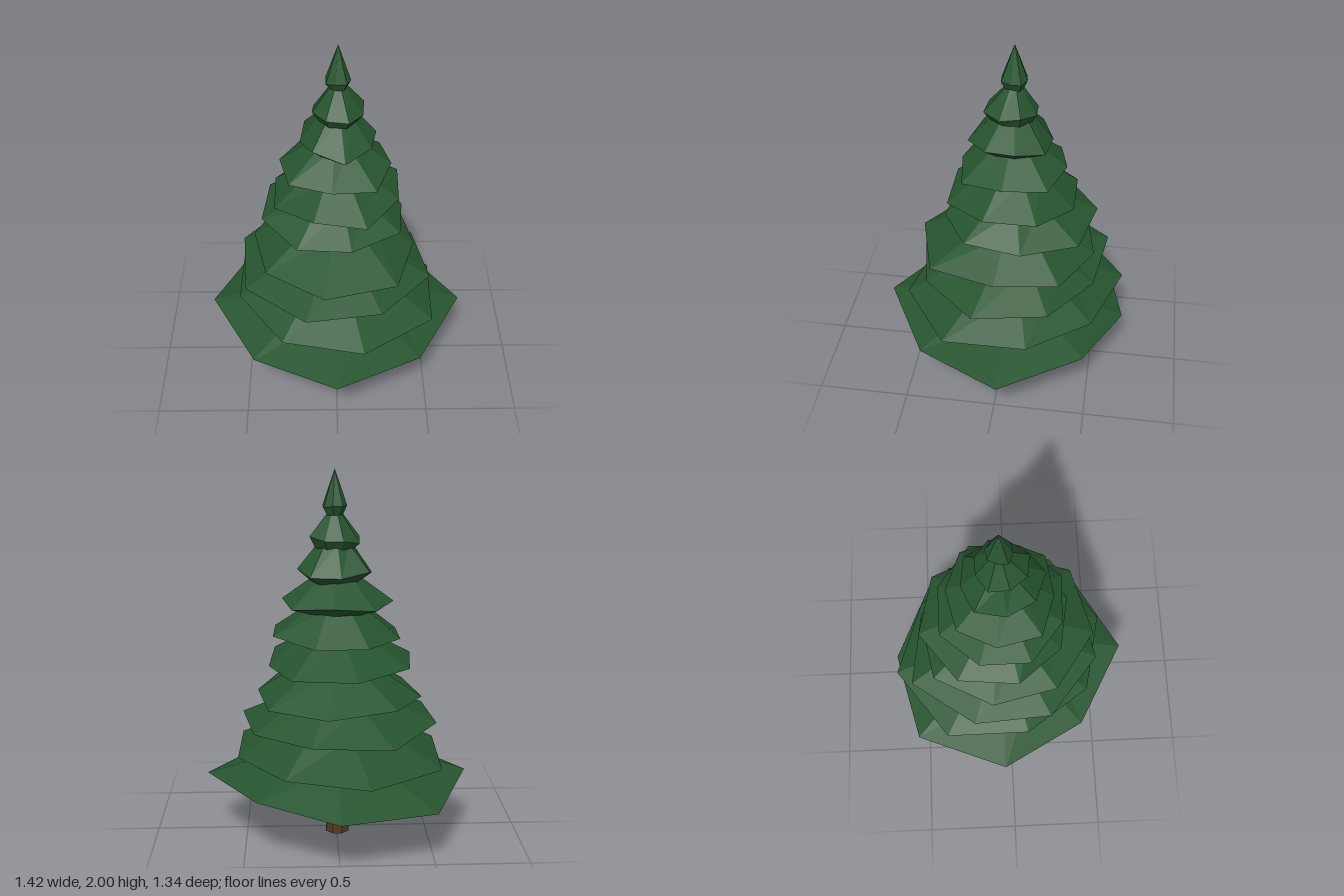
import * as THREE from 'three';

const AXIS_Z = -0.042;

// Small repeatable noise in -1..1 for uneven branch tips
const noise = (n) => {
  const s = Math.sin(n * 12.9898 + 4.1) * 43758.5453;
  return (s - Math.floor(s)) * 2 - 1;
};

// Faceted solid skinned over rings of points, ordered bottom to top
function skin(rings) {
  const pos = [];
  const tri = (...pts) => pts.forEach((p) => pos.push(p.x, p.y, p.z));
  const n = rings[0].length;
  const centre = (ring) => ring.reduce((c, p) => c.addScaledVector(p, 1 / n), new THREE.Vector3());
  const bottom = centre(rings[0]);
  const top = centre(rings[rings.length - 1]);
  for (let i = 0; i < n; i++) {
    const j = (i + 1) % n;
    tri(bottom, rings[0][j], rings[0][i]);
    for (let k = 0; k + 1 < rings.length; k++) {
      const [a, b] = [rings[k], rings[k + 1]];
      tri(a[i], a[j], b[j]);
      tri(a[i], b[j], b[i]);
    }
    const last = rings[rings.length - 1];
    tri(last[i], last[j], top);
  }
  const geo = new THREE.BufferGeometry();
  geo.setAttribute('position', new THREE.Float32BufferAttribute(pos, 3));
  geo.computeVertexNormals();
  return geo;
}

// Ring around the trunk axis; angle 0 faces the front
function ring(n, rot, radius, height, cx = 0) {
  return Array.from({ length: n }, (_, i) => {
    const a = THREE.MathUtils.degToRad(rot) + (i / n) * Math.PI * 2;
    const r = radius(i);
    return new THREE.Vector3(cx + r * Math.sin(a), height(i), AXIS_Z + r * Math.cos(a));
  });
}

// Tiers from the ground up: rim height, underside height, top height and radius,
// rotation in degrees, rim radii, underside ring ratio
const TIERS = [
  { rim: 0.33, low: 0.277, top: 0.47, topR: 0.27, rot: 0, radii: [0.712, 0.647, 0.71, 0.605, 0.628, 0.71, 0.71, 0.647], under: 0.55 },
  { rim: 0.485, low: 0.45, top: 0.64, topR: 0.28, rot: 14, radii: [0.6, 0.615, 0.55, 0.54, 0.63, 0.63, 0.56, 0.57], under: 0.6 },
  { rim: 0.66, low: 0.61, top: 0.79, topR: 0.25, rot: 28, radii: [0.51, 0.54, 0.5, 0.476, 0.58, 0.55, 0.56, 0.56], under: 0.6 },
  { rim: 0.805, low: 0.77, top: 0.96, topR: 0.2, rot: 38, radii: [0.52, 0.43, 0.46, 0.45, 0.48, 0.46, 0.48, 0.52], under: 0.6 },
  { rim: 0.99, low: 0.94, top: 1.13, topR: 0.18, rot: 12, radii: [0.375, 0.4, 0.37, 0.44, 0.455, 0.44, 0.41, 0.38], under: 0.62 },
  { rim: 1.14, low: 1.105, top: 1.29, topR: 0.15, rot: 25, radii: [0.37, 0.35, 0.37, 0.35, 0.36, 0.35, 0.36, 0.345], under: 0.62 },
  { rim: 1.305, low: 1.265, top: 1.46, topR: 0.1, rot: 40, radii: [0.32, 0.29, 0.31, 0.28, 0.3, 0.3, 0.32, 0.28], under: 0.62 },
  { rim: 1.475, low: 1.425, top: 1.62, topR: 0.09, rot: 8, radii: [0.24, 0.21, 0.2, 0.22, 0.2, 0.22, 0.2, 0.22], under: 0.65 },
  { rim: 1.64, low: 1.595, top: 1.79, topR: 0.03, rot: 20, radii: [0.16, 0.14, 0.14, 0.13, 0.125, 0.14, 0.14, 0.15], under: 0.78 },
  { rim: 1.81, low: 1.77, top: 2, topR: 0.001, rot: 35, radii: [0.075, 0.065, 0.07, 0.068, 0.07, 0.065, 0.075, 0.068], under: 0.7 },
];

export function createModel() {
  const tree = new THREE.Group();
  tree.name = 'pineTree';
  const needles = new THREE.MeshStandardMaterial({ color: 0x26542f });
  needles.name = 'needle green';
  const bark = new THREE.MeshStandardMaterial({ color: 0x50341f });
  bark.name = 'bark brown';

  // Trunk with a flared foot
  const profile = [[0.069, 0], [0.054, 0.1], [0.047, 0.24], [0.045, 0.4]];
  const trunk = new THREE.Mesh(
    skin(profile.map(([r, y]) => ring(8, 20, () => r, () => y, -0.004))), bark);
  trunk.name = 'trunk';
  tree.add(trunk);

  // Overlapping skirts of branches
  const foliage = new THREE.Group();
  foliage.name = 'foliage';
  TIERS.forEach((t, k) => {
    const n = t.radii.length;
    const cx = k > 6 ? 0.01 : 0;
    const sway = k === 9 ? 0.006 : 0.02;
    const rimY = k === 0
      ? (i) => [0.35, 0.32, 0.35, 0.35, 0.305, 0.305, 0.35, 0.315][i]
      : (i) => t.rim + sway * noise(k * 10 + i);
    const mesh = new THREE.Mesh(skin([
      ring(n, t.rot, (i) => t.radii[i] * t.under, (i) => t.low + 0.006 * noise(k * 7 + i + 90), cx),
      ring(n, t.rot, (i) => t.radii[i], rimY, cx),
      ring(n, t.rot, () => t.topR, () => t.top, cx),
    ]), needles);
    mesh.name = `branchTier${k + 1}`;
    foliage.add(mesh);
  });
  tree.add(foliage);
  return tree;
}
